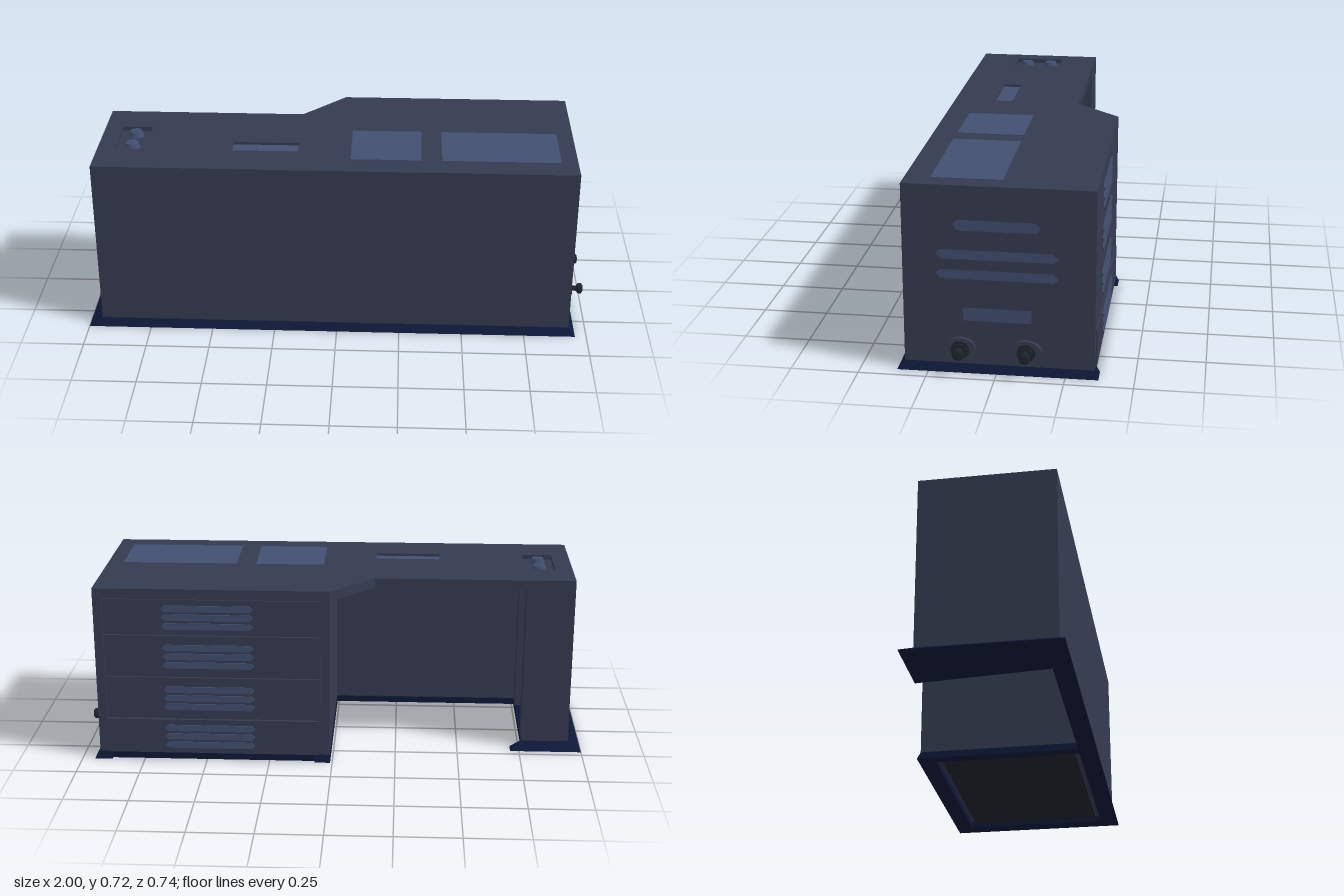
import * as THREE from 'three';

const mat = (color) => new THREE.MeshStandardMaterial({ color, flatShading: true });
const BODY = mat(0x353b50), PANEL = mat(0x424f70), BASE = mat(0x0d1838), DARK = mat(0x20242e);

const outline = (pts, T = THREE.Shape) => new T(pts.map(([a, b]) => new THREE.Vector2(a, b)));
const rect = (a0, a1, b0, b1) => [[a0, b0], [a1, b0], [a1, b1], [a0, b1]];
// Long slot with pointed ends
const hex = (c, b, half, h, tip = 0.022) => [
  [c - half, b], [c - half + tip, b - h], [c + half - tip, b - h],
  [c + half, b], [c + half - tip, b + h], [c - half + tip, b + h]];

function extrude(pts, depth, holes = []) {
  const shape = outline(pts);
  shape.holes = holes.map((h) => outline(h, THREE.Path));
  return new THREE.ExtrudeGeometry(shape, { depth, bevelEnabled: false });
}
// Plan outline in (x, z), raised from y0 to y1
const flip = (pts) => pts.map(([x, z]) => [x, -z]);
const plan = (pts, y0, y1, holes = []) =>
  extrude(flip(pts), y1 - y0, holes.map(flip)).rotateX(-Math.PI / 2).translate(0, y0, 0);
// Plate facing +x, outline in (z, y)
const sidePlate = (pts, x0, x1, holes = []) =>
  extrude(flipA(pts), x1 - x0, holes.map(flipA)).rotateY(Math.PI / 2).translate(x0, 0, 0);
// Plate facing -z, outline in (x, y)
const backPlate = (pts, z0, z1) =>
  extrude(flipA(pts), z0 - z1).rotateY(Math.PI).translate(0, 0, z0);
const flipA = (pts) => pts.map(([a, b]) => [-a, b]);

export function createModel() {
  const model = new THREE.Group();
  const add = (name, geo, material = BODY) => {
    const mesh = new THREE.Mesh(geo, material);
    mesh.name = name;
    model.add(mesh);
    return mesh;
  };

  // Carcass: front panel, pedestal and drawer cabinet in one U-shaped plan
  add('carcass', plan([
    [-0.95, 0.34], [0.91, 0.34], [0.91, -0.355], [0.895, -0.355], [0.895, -0.343],
    [0.045, -0.343], [0.045, -0.355], [0.01, -0.355], [0.01, 0.29], [-0.76, 0.29],
    [-0.76, 0.21], [-0.785, 0.21], [-0.785, -0.1], [-0.76, -0.1], [-0.76, -0.175], [-0.95, -0.175],
  ], 0.025, 0.67));

  // Desk top with sunken slot and button well
  const top = [[-0.95, 0.34], [0.93, 0.34], [0.93, -0.355], [0.01, -0.355], [-0.16, -0.175], [-0.95, -0.175]];
  const slot = rect(-0.42, -0.16, 0.1, 0.175), well = rect(-0.88, -0.76, -0.025, 0.18);
  add('topUnderside', plan(top, 0.67, 0.692));
  add('topSurface', plan(top, 0.692, 0.71, [slot, well]));
  add('slotFloor', plan(slot, 0.692, 0.7), PANEL);
  add('smallTopPanel', plan(rect(0.05, 0.325, -0.015, 0.245), 0.7, 0.715), PANEL);
  add('largeTopPanel', plan(rect(0.405, 0.865, -0.015, 0.245), 0.7, 0.715), PANEL);
  for (const z of [0.02, 0.125]) {
    add('button', new THREE.CylinderGeometry(0.024, 0.031, 0.022, 16).translate(-0.82, 0.703, z), PANEL);
    add('buttonCap', new THREE.CylinderGeometry(0.012, 0.012, 0.004, 12).translate(-0.82, 0.714, z), PANEL);
  }

  // Flared skirting: outline at the top [x, z] and at the floor [x, z]
  const skirt = [
    [-0.95, 0.34, -1, 0.365], [0.93, 0.34, 0.955, 0.365], [0.93, -0.355, 0.95, -0.37],
    [0.88, -0.355, 0.88, -0.37], [0.879, -0.355, 0.879, -0.355], [0.071, -0.355, 0.071, -0.355],
    [0.07, -0.355, 0.07, -0.37], [0.01, -0.355, 0.008, -0.37], [0.01, 0.29, 0.008, 0.29],
    [-0.76, 0.29, -0.76, 0.29], [-0.76, -0.17, -0.76, -0.17], [-0.76, -0.172, -0.715, -0.172],
    [-0.76, -0.175, -0.715, -0.22], [-0.95, -0.175, -1, -0.22]];
  const skirtGeo = plan(skirt, 0, 0.028, [rect(0.06, 0.88, -0.3, 0.29)]);
  const p = skirtGeo.attributes.position;
  for (let i = 0; i < p.count; i++) {
    if (p.getY(i) > 0.01) continue;
    const s = skirt.find(([x, z]) => Math.abs(x - p.getX(i)) < 1e-4 && Math.abs(z - p.getZ(i)) < 1e-4);
    if (s) p.setXYZ(i, s[2], 0, s[3]);
  }
  skirtGeo.computeVertexNormals();
  add('skirting', skirtGeo, BASE);
  add('cabinetFloor', plan(rect(0.08, 0.86, -0.28, 0.27), 0.01, 0.026), DARK);

  // End wall with vents and a label recess
  const vents = [hex(0, 0.559, 0.162, 0.023), hex(0, 0.448, 0.225, 0.021),
    hex(0, 0.372, 0.225, 0.021), rect(-0.125, 0.125, 0.19, 0.248)];
  add('endWall', sidePlate(rect(-0.355, 0.34, 0.025, 0.67), 0.91, 0.93, vents));
  vents.forEach((v) => add('ventFloor', sidePlate(v, 0.905, 0.915), PANEL));

  // Round connectors on the end wall
  const profile = [[0, 0], [0.034, 0], [0.034, 0.006], [0.026, 0.006], [0.026, 0.012], [0.011, 0.012],
    [0.011, 0.03], [0.021, 0.036], [0.021, 0.05], [0.014, 0.055], [0, 0.055]]
    .map(([r, y]) => new THREE.Vector2(r, y));
  for (const z of [0.133, -0.108]) {
    const plate = new THREE.CylinderGeometry(0.045, 0.045, 0.015, 32).rotateZ(-Math.PI / 2);
    add('connectorPlate', plate.scale(1, 1, 1.27).translate(0.9375, 0.088, z));
    add('connector', new THREE.LatheGeometry(profile, 24).rotateZ(-Math.PI / 2).translate(0.945, 0.088, z), DARK);
  }

  // Four drawers, each with a louvred grip
  const seams = [0.028, 0.172, 0.348, 0.522, 0.67];
  for (let i = 0; i < 4; i++) {
    const y0 = seams[i] + (i ? 0.002 : 0), y1 = seams[i + 1] - 0.002, face = i ? -0.355 : -0.36;
    add('drawerFront', backPlate(rect(0.047, 0.893, y0, y1), -0.34, face));
    for (let k = -1; k <= 1; k++) {
      const y = (y0 + y1) / 2 + k * 0.036;
      add('drawerLouvre', backPlate(hex(0.485, y, 0.18, 0.013, 0.014), -0.35, face - 0.004), PANEL);
    }
  }
  return model;
}
